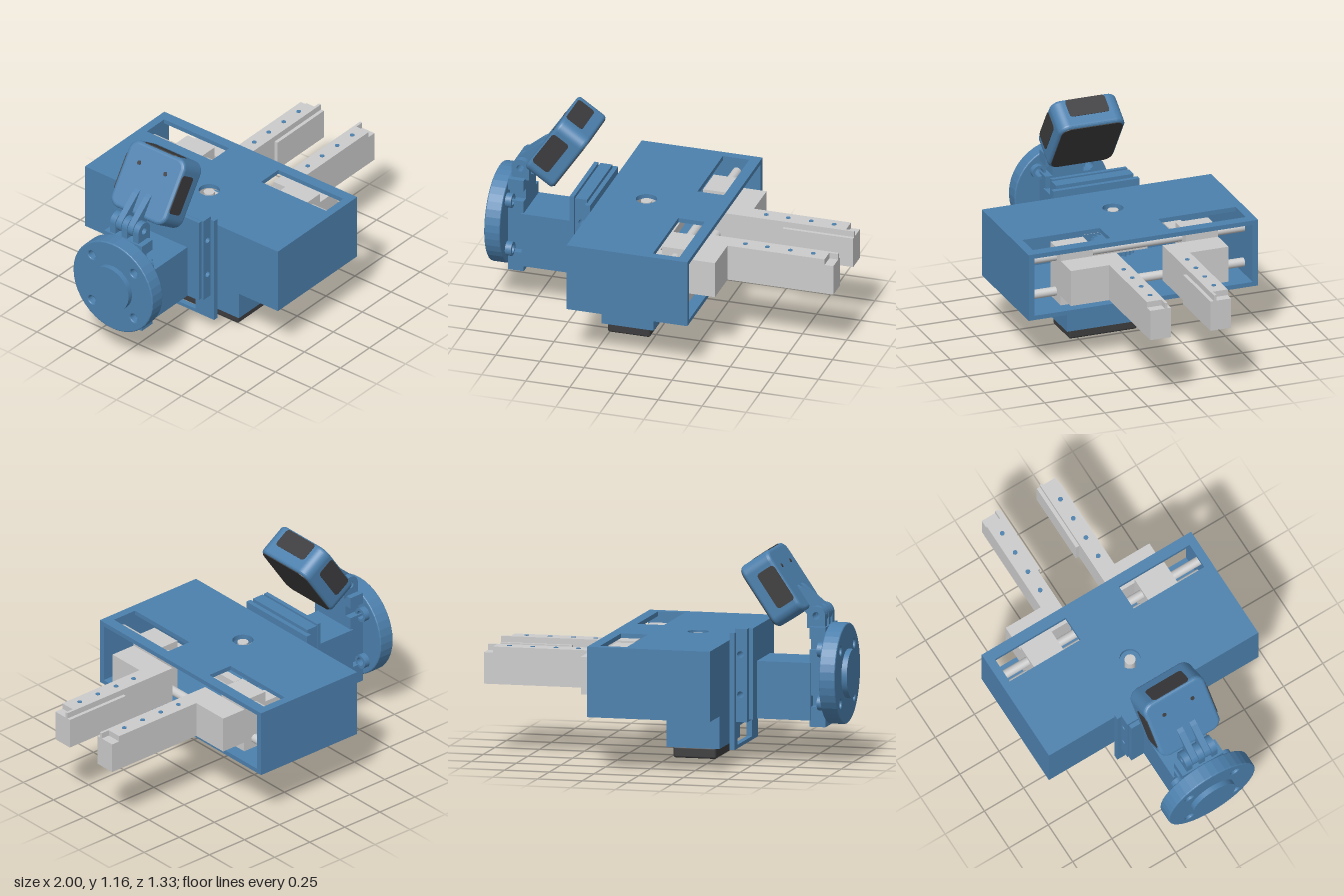
import * as THREE from 'three';
import { RoundedBoxGeometry } from 'three/addons/geometries/RoundedBoxGeometry.js';

const mat = (color) => new THREE.MeshStandardMaterial({ color });

export function createModel() {
  const root = new THREE.Group();
  const blue = mat(0x4c80ad), grey = mat(0xcccccc), dark = mat(0x3c3c3e);

  const add = (name, geo, m, parent = root) => {
    const mesh = new THREE.Mesh(geo, m);
    mesh.name = name;
    parent.add(mesh);
    return mesh;
  };
  // Box given by its extents on each axis
  const box = (name, m, x0, x1, y0, y1, z0, z1, parent = root) => {
    const mesh = add(name, new THREE.BoxGeometry(x1 - x0, y1 - y0, z1 - z0), m, parent);
    mesh.position.set((x0 + x1) / 2, (y0 + y1) / 2, (z0 + z1) / 2);
    return mesh;
  };
  // Cylinder centred at a point, lying along one axis
  const rod = (name, m, axis, r, len, x, y, z, parent = root, sides = 32) => {
    const geo = new THREE.CylinderGeometry(r, r, len, sides);
    if (axis === 'x') geo.rotateZ(-Math.PI / 2);
    if (axis === 'z') geo.rotateX(Math.PI / 2);
    const mesh = add(name, geo, m, parent);
    mesh.position.set(x, y, z);
    return mesh;
  };
  const poly = (pts) => new THREE.Shape(pts.map((p) => new THREE.Vector2(...p)));
  const rect = (a0, a1, b0, b1) => poly([[a0, b0], [a1, b0], [a1, b1], [a0, b1]]);
  const circle = (a, b, r) => new THREE.Shape().absarc(a, b, r, 0, Math.PI * 2);
  const roundRect = (w, h, r) => {
    const s = new THREE.Shape(), a = w / 2 - r, b = h / 2 - r;
    s.absarc(a, b, r, 0, Math.PI / 2);
    s.absarc(-a, b, r, Math.PI / 2, Math.PI);
    s.absarc(-a, -b, r, Math.PI, Math.PI * 1.5);
    s.absarc(a, -b, r, Math.PI * 1.5, Math.PI * 2);
    return s;
  };
  const extrude = (shape, holes, depth, bevel = 0) => {
    shape.holes.push(...holes);
    return new THREE.ExtrudeGeometry(shape, {
      depth, curveSegments: 20, bevelEnabled: bevel > 0,
      bevelSize: bevel, bevelThickness: bevel, bevelOffset: -bevel, bevelSegments: 4,
    });
  };

  // Gripper housing, open towards +x
  const housing = new THREE.Group();
  housing.name = 'housing';
  root.add(housing);
  const windows = [-1, 1].map((s) => rect(0.1, 0.25, s * 0.395 - 0.225, s * 0.395 + 0.225));
  const lid = add('housingTop', extrude(rect(-0.375, 0.31, -0.667, 0.667),
    [...windows, circle(-0.135, 0, 0.057)], 0.025), blue, housing);
  lid.rotation.x = Math.PI / 2;
  lid.position.y = 0.68;
  box('housingFloor', blue, -0.375, 0.31, 0.295, 0.32, -0.667, 0.667, housing);
  box('housingBack', blue, -0.375, -0.34, 0.32, 0.655, -0.667, 0.667, housing);
  for (const s of [-1, 1])
    box('housingEnd', blue, -0.34, 0.31, 0.32, 0.655, s * 0.651 - 0.016, s * 0.651 + 0.016, housing);

  // Motor below the housing
  box('motorHousing', blue, -0.285, 0.01, 0.06, 0.296, -0.115, 0.325);
  add('motorCap', new RoundedBoxGeometry(0.24, 0.064, 0.395, 2, 0.012), dark).position.set(-0.14, 0.032, 0.1025);

  // Drive shaft, pinion and racks
  rod('driveShaft', grey, 'y', 0.03, 0.35, -0.135, 0.495, 0);
  const teeth = [];
  for (let i = 0; i < 96; i++) {
    const a = (i / 96) * Math.PI * 2, r = i % 4 < 2 ? 0.12 : 0.1;
    teeth.push(new THREE.Vector2(Math.cos(a) * r, Math.sin(a) * r));
  }
  const pinion = add('pinion', extrude(new THREE.Shape(teeth), [], 0.055), blue);
  pinion.rotation.x = Math.PI / 2;
  pinion.position.set(-0.135, 0.49, 0);
  box('frontRack', grey, -0.01, 0.04, 0.49, 0.54, -0.13, 0.4);
  box('rearRack', grey, -0.31, -0.26, 0.49, 0.54, -0.4, 0.13);
  box('frontRackLink', grey, -0.01, 0.12, 0.49, 0.54, 0.3, 0.4);
  box('rearRackLink', grey, -0.31, 0.12, 0.49, 0.54, -0.4, -0.3);

  // Guide rods
  for (const y of [0.59, 0.385]) rod('guideRod', grey, 'z', 0.025, 1.28, 0.175, y, 0);

  // Sliders and jaws, one per side
  for (const s of [-1, 1]) {
    const jaw = new THREE.Group();
    jaw.name = s > 0 ? 'frontJaw' : 'rearJaw';
    root.add(jaw);
    const part = (name, x0, x1, y0, y1, a, b) =>
      box(name, grey, x0, x1, y0, y1, Math.min(s * a, s * b), Math.max(s * a, s * b), jaw);
    part('slider', 0.1, 0.25, 0.33, 0.645, 0.27, 0.458);
    part('jawArm', 0.25, 0.4, 0.385, 0.59, 0.135, 0.458);
    part('finger', 0.4, 0.95, 0.385, 0.59, 0.135, 0.235);
    part('fingerTip', 0.95, 1, 0.385, 0.557, 0.135, 0.235);
    part('gripPad', 0.6, 1, 0.385, 0.557, 0.115, 0.135);
    part('tipLip', 0.95, 1, 0.557, 0.59, 0.135, 0.15);
    for (const x of [0.485, 0.61, 0.74, 0.87])
      rod('fingerScrew', blue, 'y', 0.013, 0.02, x, 0.583, s * 0.185, jaw, 16);
  }

  // Mounting bracket behind the housing
  const bracket = new THREE.Group();
  bracket.name = 'mountingBracket';
  root.add(bracket);
  const rails = extrude(rect(-0.468, -0.4, 0.23, 0.74),
    [circle(-0.43, 0.6, 0.018), circle(-0.43, 0.38, 0.018)], 0.45);
  add('bracketBody', rails, blue, bracket).position.z = -0.225;
  const windowed = extrude(rect(-0.25, 0.25, 0.08, 0.72), [rect(-0.12, 0.19, 0.1, 0.2)], 0.03);
  const plate = add('bracketPlate', windowed, blue, bracket);
  plate.rotation.y = Math.PI / 2;
  plate.position.x = -0.405;
  box('bracketRearPlate', blue, -0.5, -0.476, 0.245, 0.745, -0.22, 0.22, bracket);
  box('bracketSpacer', blue, -0.48, -0.46, 0.26, 0.72, -0.18, 0.18, bracket);

  // Wrist block and robot flange
  box('wristBlock', blue, -0.8, -0.5, 0.24, 0.555, -0.14, 0.14);
  const flange = new THREE.Group();
  flange.name = 'flange';
  root.add(flange);
  const bolts = [45, 135, 225, 315].map((d) => {
    const a = THREE.MathUtils.degToRad(d);
    return [Math.cos(a) * 0.205, Math.sin(a) * 0.205];
  });
  const disc = add('flangeDisc', extrude(circle(0, 0, 0.275),
    bolts.map(([a, b]) => circle(a, b, 0.024)), 0.09, 0.008), blue, flange);
  disc.geometry.scale(1, 1, 0.09 / 0.106);
  disc.rotation.y = Math.PI / 2;
  disc.position.set(-0.963, 0.485, 0);
  rod('flangeBoss', blue, 'x', 0.133, 0.04, -0.98, 0.485, 0, flange, 48);
  // Clamp plate with notches beside the bolts
  const clamp = add('clampPlate', extrude(poly([
    [-0.13, -0.28], [0.13, -0.28], [0.13, -0.17], [0.09, -0.17], [0.09, -0.11], [0.13, -0.11],
    [0.13, 0.14], [0.09, 0.14], [0.09, 0.2], [0.13, 0.2], [0.13, 0.265], [-0.13, 0.265],
    [-0.13, 0.2], [-0.09, 0.2], [-0.09, 0.14], [-0.13, 0.14], [-0.13, -0.11], [-0.09, -0.11],
    [-0.09, -0.17], [-0.13, -0.17]]), [], 0.09), blue, flange);
  clamp.rotation.y = Math.PI / 2;
  clamp.position.set(-0.88, 0.485, 0);
  for (const [a, b] of bolts) {
    const ring = add('boltCollar', extrude(circle(0, 0, 0.04), [circle(0, 0, 0.024)], 0.04), blue, flange);
    ring.rotation.y = Math.PI / 2;
    ring.position.set(-0.885, 0.485 + b, -a);
  }

  // Camera hinge: two outer lugs on the clamp, two fins on the camera
  const hinge = new THREE.Group();
  hinge.name = 'cameraHinge';
  root.add(hinge);
  const pin = [-0.82, 0.808];
  for (const z of [-0.08, 0, 0.08]) {
    const lug = new THREE.Shape().moveTo(-0.87, 0.74).lineTo(-0.77, 0.74).lineTo(-0.77, 0.808);
    lug.absarc(...pin, 0.05, 0, Math.PI);
    add('hingeLug', extrude(lug, [circle(...pin, 0.02)], 0.036), blue, hinge).position.z = z - 0.018;
  }
  for (const z of [-0.04, 0.04]) {
    const fin = new THREE.Shape().moveTo(-0.74, 0.83);
    fin.lineTo(-0.69, 0.97).lineTo(-0.725, 0.95);
    fin.absarc(...pin, 0.05, 2.2, 5.2);
    add('cameraFin', extrude(fin, [circle(...pin, 0.02)], 0.036), blue, hinge).position.z = z - 0.018;
  }

  // Action camera, tilted; its lens face is local +x
  const camera = new THREE.Group();
  camera.name = 'camera';
  camera.position.set(-0.593, 0.955, 0);
  camera.rotation.z = THREE.MathUtils.degToRad(-34);
  root.add(camera);
  const shell = add('cameraShell', extrude(roundRect(0.384, 0.384, 0.06), [], 0.15, 0.02), blue, camera);
  shell.rotation.y = Math.PI / 2;
  shell.position.x = -0.075;
  const lens = add('lensPanel', extrude(roundRect(0.355, 0.355, 0.048), [], 0.012), dark, camera);
  lens.rotation.y = Math.PI / 2;
  lens.position.x = 0.086;
  for (const s of [-1, 1]) {
    const patch = add('sidePanel', extrude(roundRect(0.11, 0.22, 0.02), [], 0.006), dark, camera);
    patch.position.set(-0.03, 0, s * 0.191 - 0.003);
  }
  const top = add('topPanel', extrude(roundRect(0.11, 0.23, 0.02), [], 0.006), dark, camera);
  top.rotation.x = Math.PI / 2;
  top.position.set(-0.03, 0.194, 0);
  for (const z of [-0.09, 0.09]) rod('rearScrew', dark, 'x', 0.012, 0.006, -0.095, 0.08, z, camera, 16);

  return root;
}
